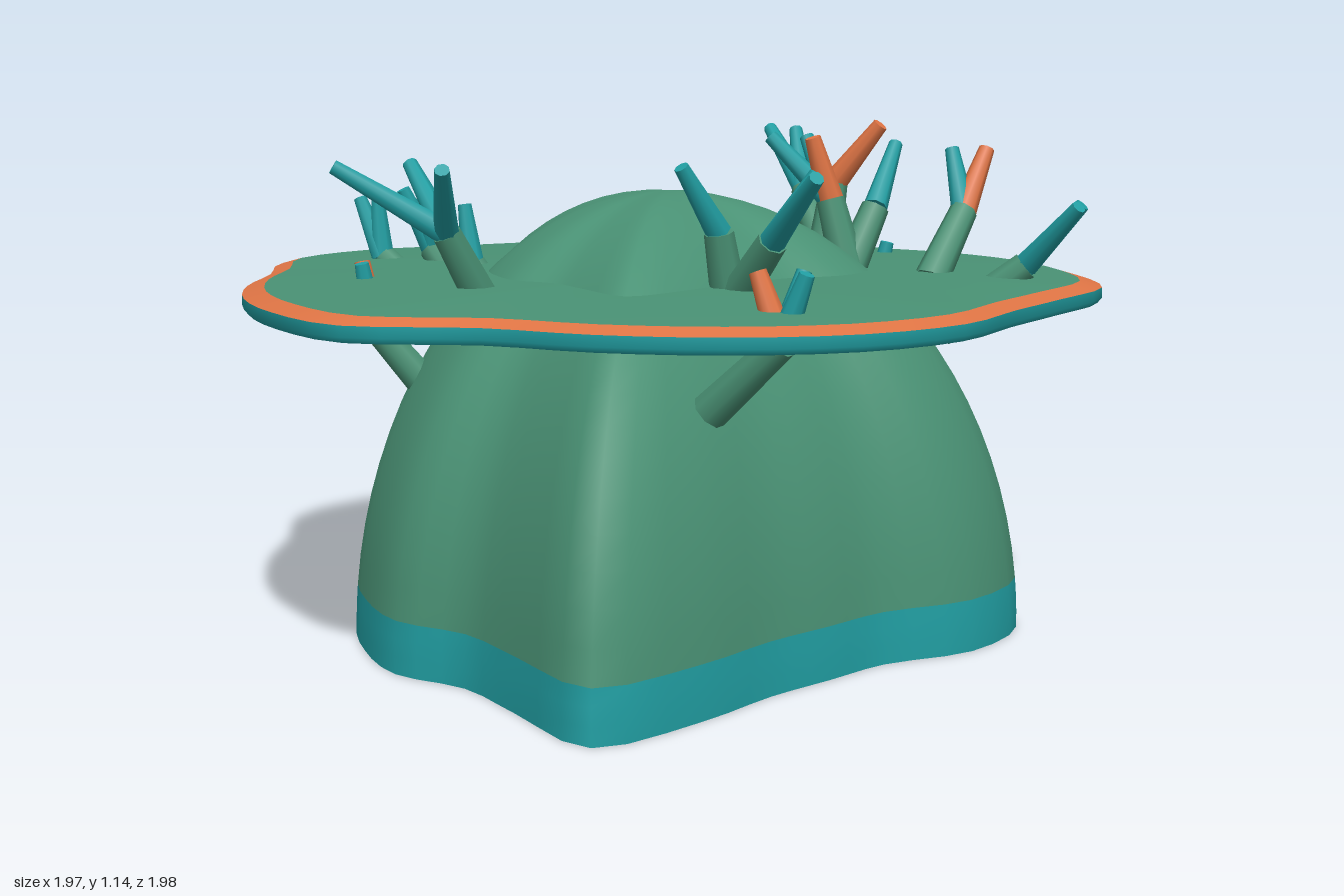
import * as THREE from 'three';

const mat = (name, color) => Object.assign(new THREE.MeshStandardMaterial({ color }), { name });
const green = mat('mossGreen', 0x4a9275);
const teal = mat('teal', 0x219fa3);
const orange = mat('coralOrange', 0xe07545);
const sand = mat('sand', 0xcbb99e);

// Smooth closed outline from radii at equal angles, starting at the front and turning to +x
function outline(radii, sx, sz) {
  const pts = radii.map((r, i) => {
    const a = (i / radii.length) * Math.PI * 2;
    return new THREE.Vector3(Math.sin(a) * r * sx, 0, Math.cos(a) * r * sz);
  });
  return new THREE.CatmullRomCurve3(pts, true).getPoints(72).slice(0, 72);
}

// Skin through scaled copies of an outline, from the lowest ring up; each ring is [scale, height]
function loft(points, rings) {
  const n = points.length, pos = [], index = [];
  for (const [s, y] of rings) for (const p of points) pos.push(p.x * s, y, p.z * s);
  for (let i = 0; i < rings.length - 1; i++) {
    for (let j = 0; j < n; j++) {
      const a = i * n + j, b = i * n + (j + 1) % n;
      if (rings[i][0] > 0) index.push(a, b, b + n);
      if (rings[i + 1][0] > 0) index.push(a, b + n, a + n);
    }
  }
  const g = new THREE.BufferGeometry();
  g.setAttribute('position', new THREE.Float32BufferAttribute(pos, 3));
  g.setIndex(index);
  g.computeVertexNormals();
  return g;
}

// Tapered rod between two points
function rod(a, b, r0, r1, material, name) {
  const dir = b.clone().sub(a);
  const mesh = new THREE.Mesh(new THREE.CylinderGeometry(r1, r0, dir.length(), 8), material);
  mesh.position.copy(a).add(b).multiplyScalar(0.5);
  mesh.quaternion.setFromUnitVectors(new THREE.Vector3(0, 1, 0), dir.normalize());
  mesh.name = name;
  return mesh;
}

export function createModel() {
  const model = new THREE.Group();
  model.name = 'coralMound';
  const add = (name, geometry, material) => {
    const m = new THREE.Mesh(geometry, material);
    m.name = name;
    model.add(m);
  };

  // Lobed dome with an elliptical profile
  const domeShape = outline([
    .53, .445, .38, .365, .375, .455, .5, .47, .45, .433, .42, .395,
    .32, .335, .46, .53, .54, .42, .4, .435, .435, .433, .403, .445], 1.62, 1.885);
  const H = 0.99, tBand = Math.asin(0.115 / H);
  const domeRings = (t0, t1, steps) => Array.from({ length: steps + 1 }, (_, i) => {
    const t = t0 + (t1 - t0) * i / steps;
    return [Math.cos(t) < 1e-6 ? 0 : Math.cos(t), H * Math.sin(t)];
  });
  add('domeBase', loft(domeShape, [[0, 0], [1, 0]]), sand);
  add('domeBand', loft(domeShape, domeRings(0, tBand, 3)), teal);
  add('dome', loft(domeShape, domeRings(tBand, Math.PI / 2, 20)), green);

  // Wavy shelf around the dome
  const shelfShape = outline([
    .945, .98, .997, .97, .905, .915, .98, .972, .964, .935, .9, 1,
    .975, .92, .935, .948, 1.02, 1.03, .94, .945, .968, .995, 1.02, .91], 1, 1);
  add('shelfUnderside', loft(shelfShape, [[0, .755], [.99, .748]]), teal);
  add('shelfEdge', loft(shelfShape, [[.99, .748], [1, .76], [1, .783]]), teal);
  add('shelfRim', loft(shelfShape, [[1, .783], [.95, .797]]), orange);
  add('shelfTop', loft(shelfShape, [[.95, .797], [.6, .812], [0, .82]]), green);

  // Branching coral: stem foot (x, z), stem tip (x, y, z), then branch ends (x, z)
  const coral = (foot, tip, tealEnds, orangeEnds = []) => {
    const group = new THREE.Group();
    group.name = 'coral';
    const top = new THREE.Vector3(...tip);
    const end = ([x, z]) => new THREE.Vector3(x, top.y + 0.14, z);
    group.add(rod(new THREE.Vector3(foot[0], top.y - 0.15, foot[1]), top, .04, .032, green, 'stem'));
    for (const e of tealEnds) group.add(rod(top, end(e), .028, .016, teal, 'branch'));
    for (const e of orangeEnds) group.add(rod(top, end(e), .03, .018, orange, 'brightBranch'));
    model.add(group);
  };
  // Right side
  coral([.34, -.31], [.28, .97, -.42], [[.18, -.58], [.25, -.52]]);
  coral([.34, -.31], [.36, .99, -.33], [], [[.47, -.3]]);
  coral([.41, -.04], [.47, .95, -.1], [[.51, -.21]]);
  coral([.41, -.04], [.37, .97, -.05], [[.23, -.07], [.31, -.1]], [[.33, -.03]]);
  coral([.6, -.02], [.67, .94, -.14], [[.64, -.19]], [[.72, -.2]]);
  coral([.62, 0], [.81, .83, .01], [[.92, .11], [.93, .05]]);
  // Front
  coral([.18, .64], [.33, .74, .71], [[.38, .73], [.37, .67]], [[.28, .69]]);
  coral([.19, .38], [.29, .92, .49], [[.39, .64], [.38, .5]]);
  coral([.19, .38], [.17, .93, .41], [[.1, .48]]);
  coral([-.33, .43], [-.39, .93, .5], [[-.61, .57], [-.49, .41], [-.36, .65]]);
  // Left side
  coral([-.46, -.08], [-.58, .84, -.12], [[-.62, -.19], [-.57, -.07], [-.64, -.09]]);
  coral([-.36, -.03], [-.46, .81, -.03], [[-.48, -.04]]);
  coral([-.55, -.16], [-.72, .81, -.19], [[-.78, -.21], [-.73, -.19]]);
  coral([-.5, .22], [-.62, .7, .25], [[-.64, .27]], [[-.65, .23]]);
  // Under the back of the shelf
  coral([.46, -.48], [.5, .6, -.61], [[.52, -.66]], [[.56, -.69]]);
  coral([.46, -.48], [.45, .69, -.53], [[.39, -.52], [.48, -.53]]);
  return model;
}
